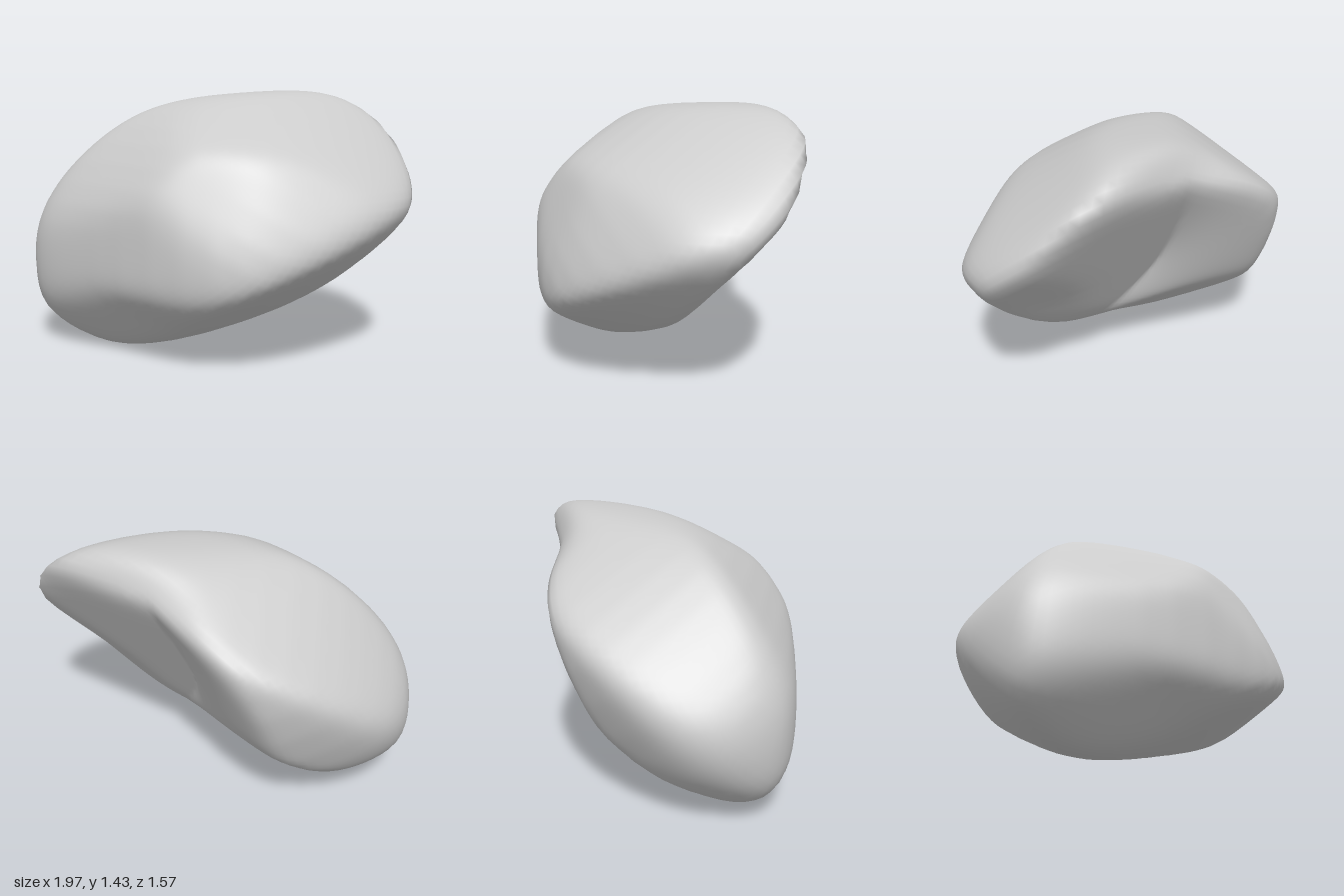
import * as THREE from 'three';
import { mergeVertices } from 'three/addons/utils/BufferGeometryUtils.js';

const core = new THREE.Vector3(0, 0.08, 0.05);

// A smooth closed outline that trims the stone along a direction given by yaw and pitch
function outline(yaw, pitch, ...corners) {
  const a = THREE.MathUtils.degToRad(yaw), b = THREE.MathUtils.degToRad(pitch);
  const right = new THREE.Vector3(Math.cos(a), 0, -Math.sin(a));
  const up = new THREE.Vector3(-Math.sin(b) * Math.sin(a), Math.cos(b), -Math.sin(b) * Math.cos(a));
  const curve = new THREE.CatmullRomCurve3(corners.map(([x, y]) => new THREE.Vector3(x, y, 0)), true);
  return { right, up, points: curve.getPoints(54) };
}

const outlines = [
  // front
  outline(0, 0, [-0.47, -0.74], [0.38, -0.48], [1.02, 0.05], [0.91, 0.29], [0.6, 0.57], [0.35, 0.7],
    [-0.12, 0.7], [-0.6, 0.49], [-1.01, -0.05], [-0.79, -0.56]),
  // side
  outline(90, 0, [-0.53, -0.75], [0, -0.51], [0.38, -0.08], [0.82, 0.47], [0.68, 0.69],
    [0.2, 0.71], [-0.3, 0.59], [-0.79, 0], [-0.79, -0.47]),
  // plan
  outline(0, 90, [-1.02, -0.31], [-0.69, 0.4], [-0.03, 0.6], [0.6, 0.82], [0.91, 0.59],
    [1.02, 0.25], [0.68, -0.48], [-0.28, -0.78], [-0.75, -0.76]),
  // diagonals
  outline(45, 30, [-1.12, -0.14], [-0.94, -0.62], [-0.28, -0.71], [0.35, -0.57], [1.06, -0.02],
    [1.08, 0.27], [0.78, 0.75], [0.17, 0.77], [-0.66, 0.43]),
  outline(225, 30, [-1.09, 0.25], [-0.82, 0.45], [-0.14, 0.64], [0.61, 0.5], [1.1, -0.15],
    [1.03, -0.47], [0.65, -0.63], [0.05, -0.41], [-1.08, 0.07]),
  outline(135, -30, [-0.82, -0.19], [-0.4, 0.72], [0.15, 1.02], [0.47, 0.59], [0.79, 0.2],
    [0.35, -0.87], [0.08, -1.03], [-0.42, -0.62]),
];

// Flat trims: the rounded front corner and the hollow under the raised end
const frontCut = new THREE.Vector3(0.55, 0.4, 0.73).normalize();
const hollowCut = new THREE.Vector3(-0.29, -0.5, -0.82).normalize();
const raisedEnd = new THREE.Vector3(1, 0, -1).normalize();

// Distance from the core to an outline along a direction
function reach(dir, { right, up, points }) {
  const ox = core.dot(right), oy = core.dot(up), dx = dir.dot(right), dy = dir.dot(up);
  let nearest = Infinity;
  for (let i = 1; i < points.length; i++) {
    const p = points[i - 1], q = points[i];
    const ax = p.x - ox, ay = p.y - oy, ex = q.x - p.x, ey = q.y - p.y;
    const det = dx * ey - dy * ex;
    if (Math.abs(det) < 1e-9) continue;
    const t = (ax * ey - ay * ex) / det, s = (ax * dy - ay * dx) / det;
    if (t > 0 && s >= -1e-6 && s <= 1 + 1e-6) nearest = Math.min(nearest, t);
  }
  return nearest;
}

// Soft minimum of all outlines and trims; the hollow fades out towards the low end
function radius(dir) {
  const fade = 1 + Math.max(0, 0.45 - dir.dot(raisedEnd));
  const reaches = outlines.map((o) => reach(dir, o));
  reaches.push(0.62 / Math.max(dir.dot(frontCut), 0.01));
  reaches.push(0.31 * fade / Math.max(dir.dot(hollowCut), 0.01));
  const sum = reaches.reduce((total, r) => total + r ** -24, 0);
  return 1.02 * sum ** (-1 / 24);
}

export function createModel() {
  const group = new THREE.Group();

  // Shared vertices give the stone smooth normals
  const ball = new THREE.IcosahedronGeometry(1, 22);
  ball.deleteAttribute('uv');
  ball.deleteAttribute('normal');
  const stone = mergeVertices(ball, 1e-4);

  // Push every vertex out to the trimmed surface
  const position = stone.attributes.position, v = new THREE.Vector3();
  for (let i = 0; i < position.count; i++) {
    v.fromBufferAttribute(position, i).normalize();
    v.multiplyScalar(radius(v)).add(core);
    position.setXYZ(i, v.x, v.y, v.z);
  }
  stone.computeVertexNormals();

  const boulder = new THREE.Mesh(stone, new THREE.MeshStandardMaterial({ color: 0xcccccc }));
  boulder.name = 'boulder';
  boulder.position.y = 0.715;
  group.add(boulder);
  return group;
}
